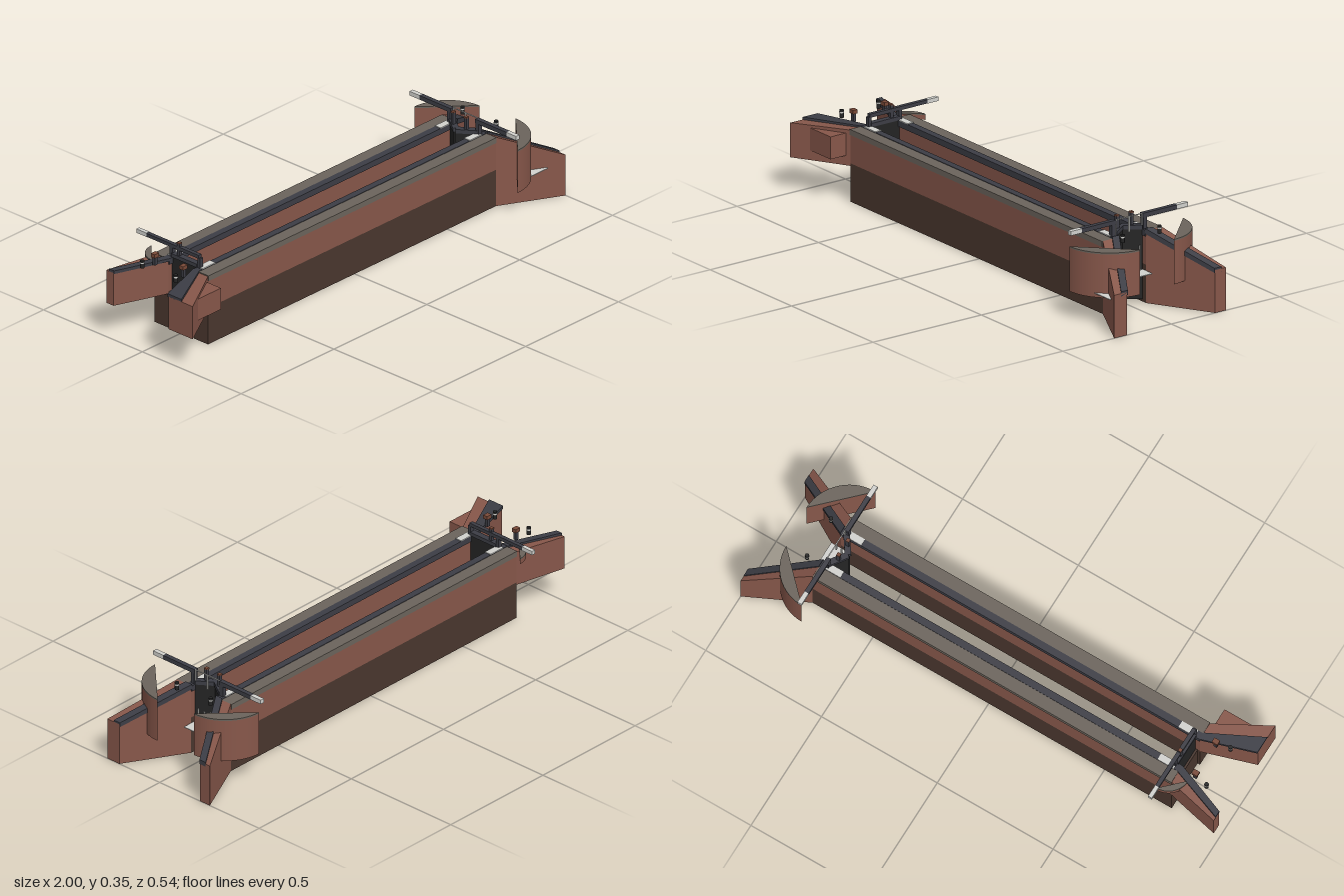
import * as THREE from 'three';

const mat = (name, color, opts = {}) => {
  const m = new THREE.MeshStandardMaterial({ color, ...opts });
  m.name = name;
  return m;
};

export function createModel() {
  const root = new THREE.Group();
  root.name = 'canalLock';
  const brick = mat('brick', 0x87574a);
  const wet = mat('wet brick', 0x4a372e);
  const stone = mat('coping stone', 0x6b645c);
  const slate = mat('slate', 0x3c3d45);
  const black = mat('tarred timber', 0x242424);
  const white = mat('white paint', 0xd2d2ce);
  const rust = mat('rust', 0x7a4a38);

  const add = (name, geo, m) => {
    const mesh = new THREE.Mesh(geo, m);
    mesh.name = name;
    root.add(mesh);
    return mesh;
  };
  // Box given by its limits on each axis
  const box = (name, m, x0, x1, y0, y1, z0, z1) => {
    const g = new THREE.BoxGeometry(Math.abs(x1 - x0), Math.abs(y1 - y0), Math.abs(z1 - z0));
    g.translate((x0 + x1) / 2, (y0 + y1) / 2, (z0 + z1) / 2);
    return add(name, g, m);
  };
  // Splayed block: z limits, bottom and top heights differ at the x0 and x1 ends
  const splay = (name, m, x0, x1, zA, zB, yb, yt) => {
    const sorted = [zA, zB].map((z) => [...z].sort((a, b) => a - b));
    const g = new THREE.BoxGeometry(1, 1, 1).toNonIndexed();
    const p = g.attributes.position;
    for (let i = 0; i < p.count; i++) {
      const end = p.getX(i) > 0 ? 1 : 0;
      p.setXYZ(i, end ? x1 : x0, p.getY(i) > 0 ? yt[end] : yb[end], sorted[end][p.getZ(i) > 0 ? 1 : 0]);
    }
    g.computeVertexNormals();
    return add(name, g, m);
  };
  // Quarter-round block; startAngle is measured from +x towards -z
  const quarter = (name, m, x, z, r, startAngle, y0, y1) => {
    const s = new THREE.Shape();
    s.moveTo(0, 0);
    s.absarc(0, 0, r, startAngle, startAngle + Math.PI / 2, false);
    s.closePath();
    const g = new THREE.ExtrudeGeometry(s, { depth: y1 - y0, bevelEnabled: false, curveSegments: 16 });
    g.rotateX(-Math.PI / 2).translate(x, y0, z);
    return add(name, g, m);
  };
  const post = (name, m, x, z, r, y0, y1) => {
    const g = new THREE.CylinderGeometry(r, r, y1 - y0, 10);
    return add(name, g.translate(x, (y0 + y1) / 2, z), m);
  };

  for (const s of [1, -1]) {
    // Chamber walls with coping
    box('lowerWall', wet, -0.79, 0.76, 0, 0.15, s * 0.065, s * 0.135);
    box('upperWall', brick, -0.79, 0.76, 0.15, 0.262, s * 0.065, s * 0.135);
    box('coping', stone, -0.79, 0.76, 0.262, 0.284, s * 0.088, s * 0.138);
    box('copingEdge', slate, -0.79, 0.76, 0.262, 0.286, s * 0.06, s * 0.088);
    box('gateRecessPad', white, 0.67, 0.735, 0.286, 0.289, s * 0.06, s * 0.088);
    box('gateRecessPad', white, -0.77, -0.70, 0.286, 0.289, s * 0.06, s * 0.088);

    // Lower wing walls, sloping down and outwards
    const tip = s > 0 ? 0.263 : 0.252;
    splay('lowerWingWall', brick, 0.76, 1, [s * 0.065, s * 0.135], [s * 0.203, s * tip], [0, 0], [0.285, 0.168]);
    splay('lowerWingCap', slate, 0.76, 1, [s * 0.06, s * 0.092], [s * 0.2, s * 0.231], [0.272, 0.157], [0.293, 0.175]);

    // Quarter-round beam platforms
    const r = s > 0 ? 0.185 : 0.17;
    const a = s > 0 ? -Math.PI / 2 : 0;
    quarter('beamPlatform', brick, 0.735, s * 0.084, r, a, 0.11, 0.28);
    quarter('beamPlatformTop', stone, 0.735, s * 0.084, r, a, 0.28, 0.286);

    // Mitred lower gate leaves
    const leaf = add('lowerGateLeaf', new THREE.BoxGeometry(0.016, 0.275, 0.08), black);
    leaf.position.set(0.7125, 0.15, s * 0.0325);
    leaf.rotation.y = s * Math.atan2(0.045, 0.065);
    const rail = add('lowerGateRail', new THREE.BoxGeometry(0.024, 0.016, 0.08), slate);
    rail.position.set(0.7125, 0.294, s * 0.0325);
    rail.rotation.y = leaf.rotation.y;

    // Balance beams with white ends
    box('balanceBeam', slate, 0.726, 0.744, 0.33, 0.347, s * 0.062, s * 0.22);
    box('balanceBeamEnd', white, 0.726, 0.744, 0.33, 0.347, s * 0.22, s * 0.27);
    box('beamPost', slate, 0.726, 0.744, 0.285, 0.332, s * 0.064, s * 0.08);

    // Paddle gear and handrail
    box('paddleGear', slate, 0.703, 0.717, 0.29, 0.348, s * 0.027, s * 0.039);
    box('paddleGearCap', rust, 0.703, 0.717, 0.348, 0.353, s * 0.026, s * 0.04);
    box('handrailPost', white, 0.738, 0.742, 0.287, 0.347, s * 0.058, s * 0.062);

    // Bollards with a white band, and ground paddles
    for (const x of [0.815, -0.91]) {
      post('bollard', black, x, s * 0.085, 0.008, 0.285, 0.316);
      post('bollardBand', white, x, s * 0.085, 0.009, 0.304, 0.309);
    }
    box('groundPaddle', rust, -0.867, -0.843, 0.315, 0.33, s * 0.062, s * 0.082);
    box('groundPaddleStand', slate, -0.862, -0.848, 0.282, 0.315, s * 0.066, s * 0.078);
  }

  // Upper wing walls
  splay('upperWingWall', brick, -1, -0.79, [0.132, 0.255], [0.065, 0.135], [0.14, 0.14], [0.275, 0.28]);
  splay('upperWingCap', slate, -1, -0.79, [0.128, 0.198], [0.06, 0.09], [0.272, 0.275], [0.285, 0.287]);
  splay('upperWingWall', brick, -1, -0.79, [-0.145, -0.182], [-0.065, -0.135], [0.14, 0.14], [0.275, 0.28]);
  splay('upperWingCap', slate, -1, -0.79, [-0.142, -0.168], [-0.06, -0.09], [0.272, 0.275], [0.285, 0.287]);
  box('sideBlock', brick, -0.93, -0.805, 0.178, 0.266, 0.12, 0.215);

  // Small platform beside the upper gate
  quarter('upperPlatform', brick, -0.755, -0.1, 0.085, Math.PI / 2, 0.262, 0.28);
  quarter('upperPlatformTop', stone, -0.755, -0.1, 0.085, Math.PI / 2, 0.28, 0.285);

  // Upper gate on its breast wall
  box('breastWall', wet, -0.78, -0.72, 0, 0.145, -0.065, 0.065);
  box('upperGate', black, -0.772, -0.756, 0.145, 0.287, -0.065, 0.065);
  box('upperGateRail', slate, -0.776, -0.752, 0.287, 0.302, -0.065, 0.065);
  box('upperBeam', slate, -0.771, -0.755, 0.324, 0.338, -0.195, 0.07);
  box('upperBeamEnd', white, -0.771, -0.755, 0.323, 0.339, -0.245, -0.195);
  for (const z of [-0.07, 0.07]) box('upperBeamPost', slate, -0.771, -0.755, 0.285, 0.326, z - 0.007, z + 0.007);
  box('upperPaddleGear', slate, -0.772, -0.758, 0.3, 0.35, -0.039, -0.027);
  box('upperPaddleGearCap', rust, -0.772, -0.758, 0.35, 0.354, -0.04, -0.026);

  // Lower gate handrail
  box('handrail', white, 0.738, 0.742, 0.345, 0.348, -0.062, 0.062);
  box('handrailMiddlePost', white, 0.738, 0.743, 0.287, 0.347, -0.003, 0.003);

  // Leaks falling from the gate onto a patch of foam
  box('foam', white, 0.735, 0.80, 0.125, 0.128, -0.063, 0.063);
  [[0.042, 0.19], [0.013, 0.188], [-0.02, 0.197], [-0.047, 0.225]].forEach(([z, y]) =>
    box('leak', white, 0.742, 0.746, 0.127, y, z - 0.003, z + 0.003));
  box('overflowPatch', white, 0.84, 0.935, 0.125, 0.128, 0.17, 0.235);
  box('overflowPipe', slate, 0.84, 0.9, 0.125, 0.163, 0.148, 0.153);

  return root;
}
